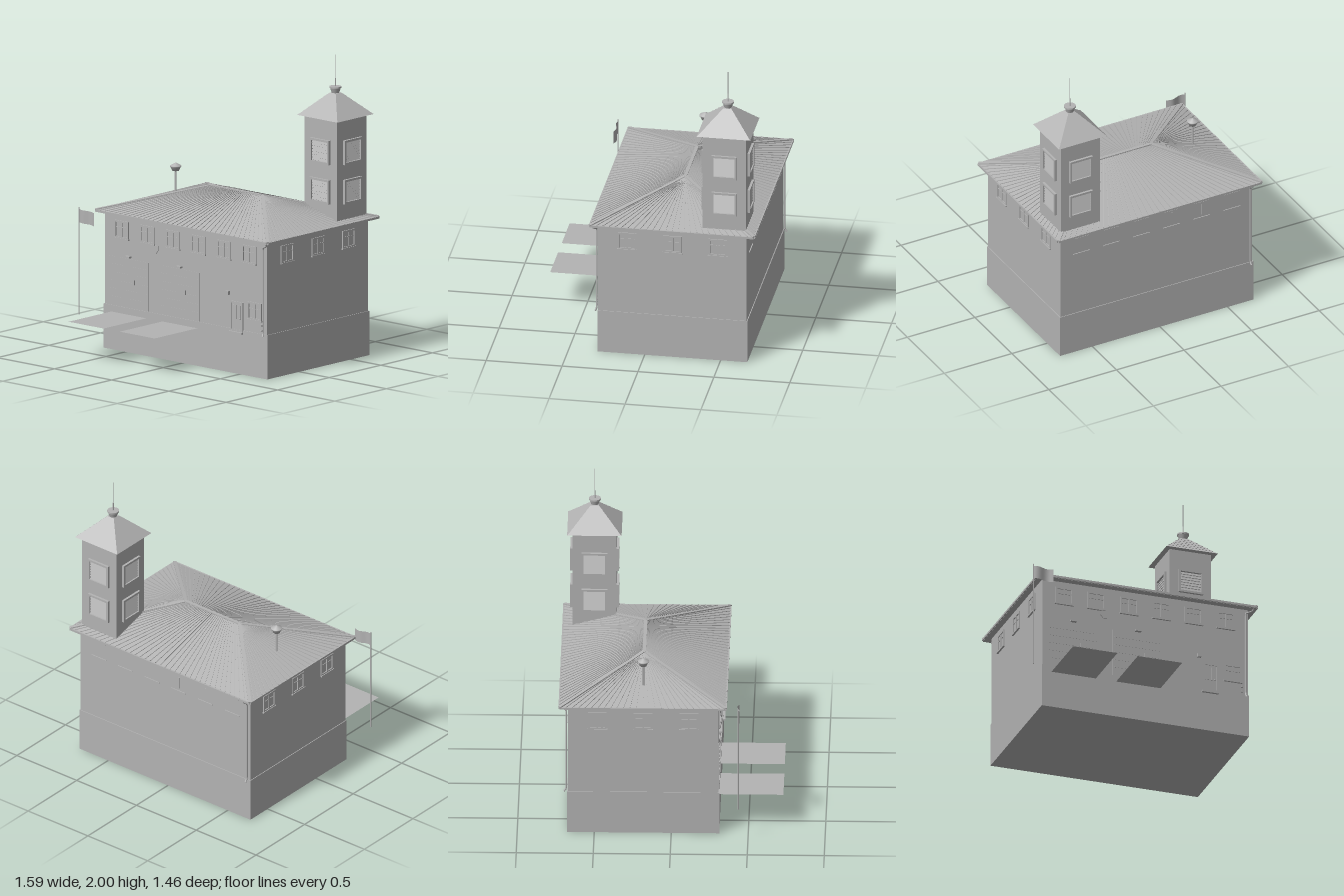
import * as THREE from 'three';

const grey = new THREE.MeshStandardMaterial({ color: 0xb3b3b3, side: THREE.DoubleSide });
grey.name = 'plain grey';

const V = (x, y, z) => new THREE.Vector3(x, y, z);

function add(parent, name, geometry, x = 0, y = 0, z = 0) {
  const mesh = new THREE.Mesh(geometry, grey);
  mesh.name = name;
  mesh.position.set(x, y, z);
  parent.add(mesh);
  return mesh;
}

// Box given by centre and size
const box = (parent, name, x, y, z, w, h, d) => add(parent, name, new THREE.BoxGeometry(w, h, d), x, y, z);

// Straight bar between two points
function bar(parent, name, a, b, w, h) {
  const mesh = box(parent, name, 0, 0, 0, w, h, a.distanceTo(b));
  mesh.position.copy(a).add(b).multiplyScalar(0.5);
  mesh.lookAt(b);
  return mesh;
}

// Flat-shaded faces from lists of corners
function faces(polys) {
  const pts = [];
  for (const p of polys) for (let i = 1; i < p.length - 1; i++) pts.push(p[0], p[i], p[i + 1]);
  const g = new THREE.BufferGeometry().setFromPoints(pts);
  g.computeVertexNormals();
  return g;
}

function pipe(parent, name, points, r) {
  const path = new THREE.CurvePath();
  for (let i = 1; i < points.length; i++) path.add(new THREE.LineCurve3(points[i - 1], points[i]));
  add(parent, name, new THREE.TubeGeometry(path, 40, r, 8));
}

function group(parent, name, x = 0, y = 0, z = 0, turn = 0) {
  const g = new THREE.Group();
  g.name = name;
  g.position.set(x, y, z);
  g.rotation.y = turn;
  parent.add(g);
  return g;
}

// Four-sided frame facing +z
function frame(g, w, h, t, d) {
  for (const s of [-1, 1]) {
    box(g, 'frameSide', s * (w - t) / 2, 0, d / 2, t, h, d);
    box(g, 'frameRail', 0, s * (h - t) / 2, d / 2, w - 2 * t, t, d);
  }
}

function wallWindow(parent, x, y, z, turn) {
  const g = group(parent, 'window', x, y, z, turn);
  frame(g, 0.122, 0.118, 0.012, 0.007);
  box(g, 'mullion', 0, 0, 0.003, 0.01, 0.1, 0.006);
  box(g, 'glazingBar', 0, 0.015, 0.002, 0.1, 0.005, 0.004);
  box(g, 'sill', 0, -0.06, 0.006, 0.13, 0.008, 0.012);
}

function louvredWindow(parent, x, y, z, turn) {
  const g = group(parent, 'louvredWindow', x, y, z, turn);
  frame(g, 0.168, 0.162, 0.014, 0.016);
  for (let i = 0; i < 7; i++) {
    const slat = box(g, 'slat', 0, -0.057 + i * 0.019, 0.004, 0.14, 0.018, 0.003);
    slat.rotation.x = -0.4;
  }
}

function buildRoof(parent) {
  const roof = group(parent, 'mainRoof');
  const x0 = -0.725, x1 = 0.78, z0 = -0.725, z1 = 0.355, y = 0.92, yb = 0.905;
  const a = V(x0, y, z1), b = V(x1, y, z1), c = V(x1, y, z0), d = V(x0, y, z0);
  const r0 = V(-0.2, 1.07, -0.185), r1 = V(0.25, 1.07, -0.185);
  add(roof, 'slopes', faces([[a, b, r1, r0], [b, c, r1], [c, d, r0, r1], [d, a, r0]]));
  box(roof, 'eaveSlab', (x0 + x1) / 2, (y + yb) / 2, (z0 + z1) / 2, x1 - x0, y - yb, z1 - z0);

  // Standing seams fanning from ridge to eave
  const seams = (p, q, tp, tq, n) => {
    for (let i = 1; i < n; i++) {
      bar(roof, 'seam', p.clone().lerp(q, i / n), tp.clone().lerp(tq, i / n), 0.004, 0.008);
    }
  };
  seams(a, b, r0, r1, 36);
  seams(c, d, r1, r0, 36);
  seams(b, c, r1, r1, 26);
  seams(d, a, r0, r0, 26);

  // Hip and ridge caps
  for (const [p, q] of [[a, r0], [d, r0], [b, r1], [c, r1], [r0, r1]]) bar(roof, 'ridgeCap', p, q, 0.022, 0.012);

  // Gutters
  for (const z of [z0, z1]) box(roof, 'gutter', (x0 + x1) / 2, 0.914, z, x1 - x0 - 0.005, 0.014, 0.014);
  for (const x of [x0, x1]) box(roof, 'gutter', x, 0.914, (z0 + z1) / 2, 0.014, 0.014, z1 - z0 - 0.005);
}

function buildTower(parent) {
  const t = group(parent, 'tower', 0.583, 0, -0.522);
  box(t, 'towerShaft', 0, 1.25, 0, 0.286, 0.7, 0.286);
  for (let i = 0; i < 4; i++) {
    const turn = i * Math.PI / 2;
    for (const y of [1.12, 1.382]) louvredWindow(t, 0.143 * Math.sin(turn), y, 0.143 * Math.cos(turn), turn);
  }
  // Stepped shingle courses on the pyramid roof
  const n = 6, baseY = 1.602, topY = 1.748;
  for (let i = 0; i < n; i++) {
    const half = (k) => 0.174 - (0.174 - 0.026) * k / n;
    const rise = (topY - baseY) / n;
    const g = new THREE.CylinderGeometry(half(i + 1) * Math.SQRT2, (half(i) + 0.003) * Math.SQRT2, rise, 4).toNonIndexed();
    g.computeVertexNormals();
    g.rotateY(Math.PI / 4);
    add(t, 'roofCourse', g, 0, baseY + (i + 0.5) * rise, 0);
  }
  add(t, 'finialBowl', new THREE.CylinderGeometry(0.036, 0.024, 0.034, 20), 0, 1.764, 0);
  add(t, 'finialRim', new THREE.CylinderGeometry(0.039, 0.039, 0.01, 20), 0, 1.785, 0);
  add(t, 'mastBase', new THREE.CylinderGeometry(0.004, 0.004, 0.06, 8), 0, 1.815, 0);
  add(t, 'mast', new THREE.CylinderGeometry(0.002, 0.002, 0.16, 6), 0, 1.92, 0);
}

function buildFront(parent, z) {
  // Garage doors with panel joints, lamps and driveways
  for (const x of [-0.473, -0.027]) {
    const g = group(parent, 'garageDoor', x, 0, z);
    box(g, 'doorLeaf', 0, 0.458, 0, 0.345, 0.325, 0.004);
    for (let i = 1; i < 6; i++) box(g, 'panelJoint', 0, 0.3 + i * 0.054, 0.002, 0.325, 0.003, 0.003);
    box(g, 'doorHandle', 0.05, 0.47, 0.006, 0.006, 0.03, 0.008);
    box(g, 'doorLamp', 0, 0.635, 0.011, 0.04, 0.012, 0.022);
    const drive = add(parent, 'driveway', new THREE.PlaneGeometry(0.306, 0.42), x + 0.003, 0.25, 0.517);
    drive.rotation.x = -Math.PI / 2;
  }
  // Blank shield plate
  const s = new THREE.Shape([[-0.035, 0.03], [0.035, 0.03], [0.035, 0], [0.015, -0.025], [-0.015, -0.025], [-0.035, 0]]
    .map(([x, y]) => new THREE.Vector2(x, y)));
  add(parent, 'shieldPlate', new THREE.ExtrudeGeometry(s, { depth: 0.006, bevelEnabled: false }), -0.25, 0.714, z);

  // Entrance door, step and fittings
  const door = group(parent, 'entranceDoor', 0.473, 0.378, z);
  frame(door, 0.108, 0.2, 0.01, 0.007);
  box(door, 'doorLeaf', 0, 0, 0.001, 0.09, 0.185, 0.004);
  for (const x of [-0.02, 0.02]) box(door, 'doorPanel', x, 0.03, 0.004, 0.028, 0.09, 0.004);
  add(door, 'knob', new THREE.SphereGeometry(0.005, 10, 8), 0.03, -0.012, 0.007);
  box(parent, 'doorStep', 0.47, 0.273, z + 0.006, 0.115, 0.012, 0.03);
  box(parent, 'alarmBox', 0.395, 0.526, z + 0.009, 0.025, 0.025, 0.018);
  for (const y of [0.315, 0.35]) box(parent, 'wallBox', 0.69, y, z + 0.007, 0.012, 0.012, 0.014);
  wallWindow(parent, 0.628, 0.436, z, 0);
}

export function createModel() {
  const model = new THREE.Group();
  model.name = 'stationWithTower';

  // Plinth and walls
  box(model, 'plinth', 0.025, 0.147, -0.182, 1.43, 0.294, 0.988);
  box(model, 'walls', 0.025, 0.6, -0.182, 1.42, 0.62, 0.978);
  const front = 0.307, back = -0.671, left = 0.735, right = -0.685;

  // Upper windows
  const xs = [-0.535, -0.311, -0.088, 0.135, 0.358, 0.58];
  for (const x of xs) wallWindow(model, x, 0.806, front, 0);
  for (const z of [0.115, -0.183, -0.48]) {
    wallWindow(model, left, 0.806, z, Math.PI / 2);
    wallWindow(model, right, 0.806, z, -Math.PI / 2);
  }
  xs.forEach((x, i) => {
    box(model, 'backLintel', x, 0.862, back, 0.11, 0.005, 0.008);
    box(model, 'backSill', x, 0.746, back, 0.122, 0.006, 0.012);
    if (i === 1 || i === 2) box(model, 'backMullion', x, 0.806, back, 0.008, 0.08, 0.006);
  });

  buildRoof(model);
  buildTower(model);
  buildFront(model, front);

  // Downpipes at two opposite corners
  pipe(model, 'frontDownpipe', [V(0.76, 0.905, 0.345), V(0.755, 0.89, 0.335), V(0.713, 0.873, 0.32), V(0.713, 0.3, 0.32), V(0.713, 0.28, 0.33)], 0.006);
  pipe(model, 'backDownpipe', [V(-0.665, 0.905, -0.72), V(-0.665, 0.89, -0.71), V(-0.665, 0.873, -0.682), V(-0.665, 0.305, -0.682), V(-0.665, 0.285, -0.697)], 0.006);

  // Roof vent
  const vent = group(model, 'roofVent', -0.51, 0, -0.185);
  add(vent, 'ventPipe', new THREE.CylinderGeometry(0.007, 0.007, 0.17, 12), 0, 1.05, 0);
  const cap = [[0, 1.122], [0.022, 1.122], [0.034, 1.148], [0.038, 1.15], [0.037, 1.156], [0, 1.176]];
  add(vent, 'ventCap', new THREE.LatheGeometry(cap.map(([x, y]) => new THREE.Vector2(x, y)), 20));

  // Flagpole with a waving flag
  add(model, 'flagpole', new THREE.CylinderGeometry(0.004, 0.004, 0.715, 8), -0.793, 0.583, 0.437);
  const cloth = new THREE.PlaneGeometry(0.135, 0.088, 14, 1);
  const p = cloth.attributes.position;
  for (let i = 0; i < p.count; i++) {
    const u = p.getX(i) / 0.135 + 0.5;
    p.setZ(i, 0.008 * Math.sin(u * 7));
    p.setY(i, p.getY(i) - 0.01 * u);
  }
  cloth.computeVertexNormals();
  add(model, 'flag', cloth, -0.723, 0.884, 0.437);

  return model;
}
